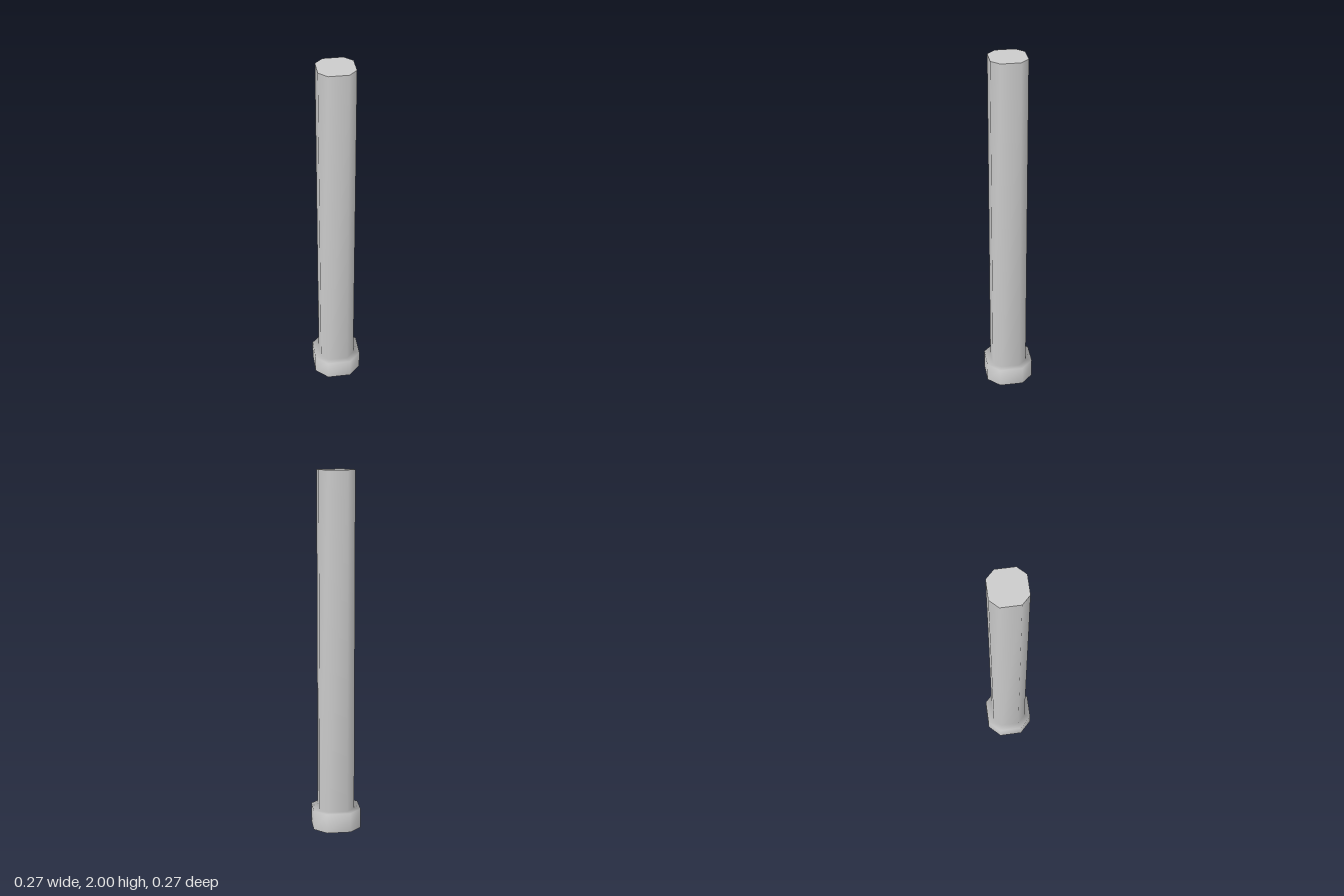
import * as THREE from 'three';

const material = new THREE.MeshStandardMaterial({ color: 0xcccccc });

// Corners of a square with cut corners: half width w, half length of the straight sides c
const octagon = (w, c) => [[c, w], [w, c], [w, -c], [c, -w], [-c, -w], [-w, -c], [-w, c], [-c, w]];

// Smooth skin through octagonal rings listed from bottom to top as [y, w, c]
function octagonSkin(rings) {
  const positions = [], index = [];
  for (const [y, w, c] of rings) {
    for (const [x, z] of octagon(w, c)) positions.push(x, y, z);
  }
  for (let r = 0; r < rings.length - 1; r++) {
    for (let i = 0; i < 8; i++) {
      const a = r * 8 + i, b = r * 8 + (i + 1) % 8;
      index.push(a, b, b + 8, a, b + 8, a + 8);
    }
  }
  const geometry = new THREE.BufferGeometry();
  geometry.setAttribute('position', new THREE.Float32BufferAttribute(positions, 3));
  geometry.setIndex(index);
  geometry.computeVertexNormals();
  return geometry;
}

// Flat octagonal end, facing up or down
function octagonCap(y, w, c, up) {
  const shape = new THREE.Shape(octagon(w, c).map(([x, z]) => new THREE.Vector2(x, z)));
  const geometry = new THREE.ShapeGeometry(shape);
  geometry.rotateX(up ? -Math.PI / 2 : Math.PI / 2);
  return geometry.translate(0, y, 0);
}

export function createModel() {
  const group = new THREE.Group();
  group.name = 'post';
  const add = (name, geometry) => {
    const mesh = new THREE.Mesh(geometry, material);
    mesh.name = name;
    group.add(mesh);
  };

  const foot = [0.133, 0.066], shaft = [0.098, 0.053], ledge = 0.11, height = 2;

  // Foot sides, ledge and shaft sides share one smooth skin
  add('footAndShaft', octagonSkin([[0, ...foot], [ledge, ...foot], [ledge, ...shaft], [height, ...shaft]]));
  add('topCap', octagonCap(height, ...shaft, true));
  add('bottomCap', octagonCap(0, ...foot, false));
  return group;
}
